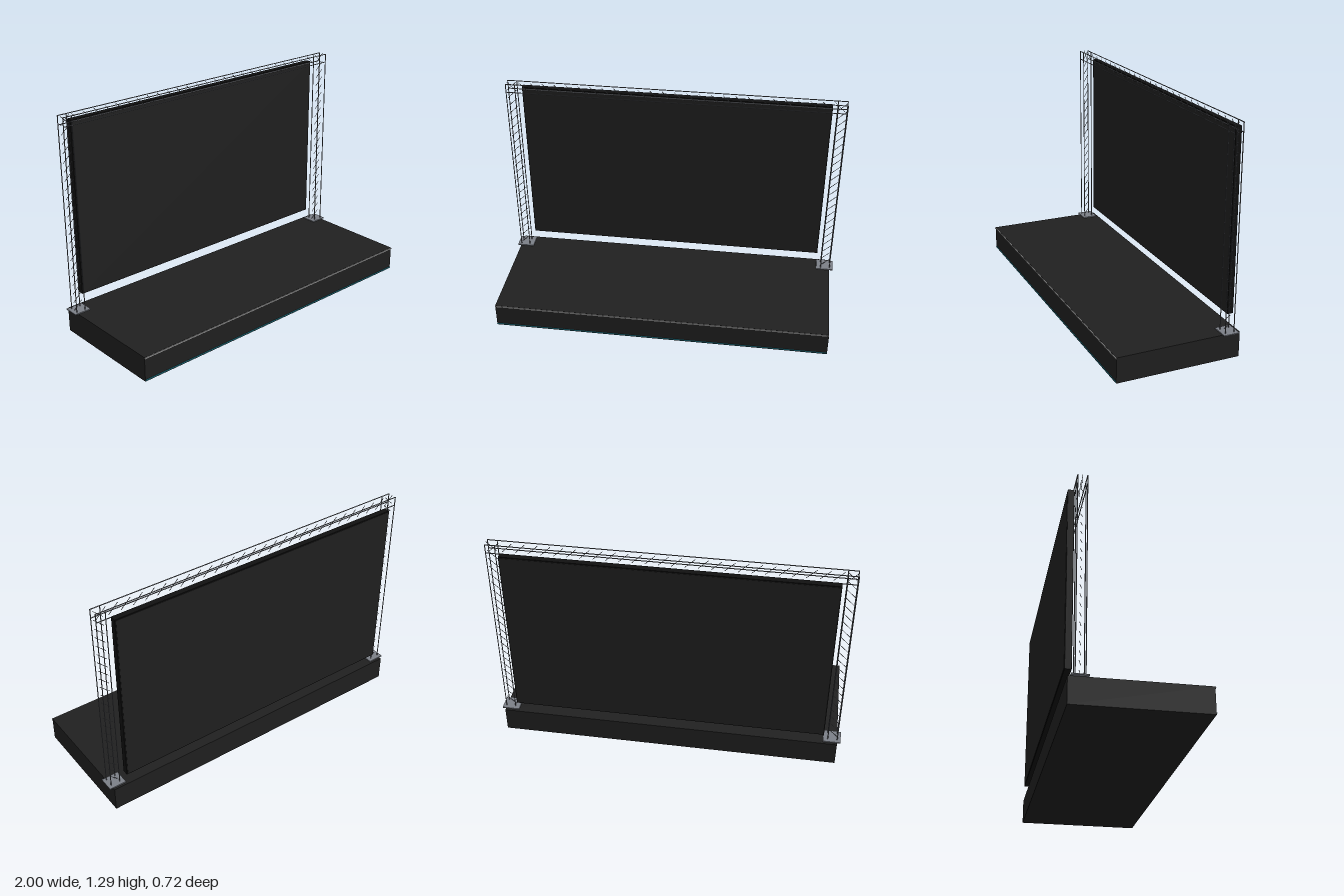
import * as THREE from 'three';

const mat = (name, color) => {
  const m = new THREE.MeshStandardMaterial({ color });
  m.name = name;
  return m;
};

export function createModel() {
  const black = mat('stage black', 0x202020);
  const trim = mat('dark edge', 0x111111);
  const steel = mat('truss grey', 0x6a6c72);
  const plate = mat('plate grey', 0x7c8088);
  const silver = mat('silver trim', 0x9a9a9a);
  const teal = mat('teal light', 0x1f7f90);
  const model = new THREE.Group();

  // Box given by its lower and upper corners
  const box = (parent, name, material, [x0, y0, z0], [x1, y1, z1]) => {
    const mesh = new THREE.Mesh(new THREE.BoxGeometry(x1 - x0, y1 - y0, z1 - z0), material);
    mesh.position.set((x0 + x1) / 2, (y0 + y1) / 2, (z0 + z1) / 2);
    mesh.name = name;
    parent.add(mesh);
  };
  // Round bar between two points
  const bar = (parent, name, material, a, b, r) => {
    const p = new THREE.Vector3(...a), q = new THREE.Vector3(...b);
    const d = q.clone().sub(p);
    const mesh = new THREE.Mesh(new THREE.CylinderGeometry(r, r, d.length(), 8), material);
    mesh.position.copy(p).add(q).multiplyScalar(0.5);
    mesh.quaternion.setFromUnitVectors(new THREE.Vector3(0, 1, 0), d.normalize());
    mesh.name = name;
    parent.add(mesh);
  };

  // Stage with front edge strips
  const stage = new THREE.Group();
  stage.name = 'stage';
  model.add(stage);
  box(stage, 'stageDeck', black, [-0.98, 0, -0.355], [0.98, 0.145, 0.357]);
  box(stage, 'frontTopTrim', silver, [-0.98, 0.137, 0.357], [0.98, 0.144, 0.361]);
  box(stage, 'frontLightStrip', teal, [-0.98, 0.006, 0.357], [0.98, 0.011, 0.36]);

  // Screen: display panel inside a thin dark frame
  const screen = new THREE.Group();
  screen.name = 'screen';
  model.add(screen);
  box(screen, 'screenPanel', black, [-0.894, 0.222, -0.36], [0.894, 1.238, -0.322]);
  for (const s of [-1, 1]) {
    const x = s * 0.897;
    box(screen, 'screenSideEdge', trim, [x - 0.003, 0.216, -0.358], [x + 0.003, 1.244, -0.324]);
    const y = s < 0 ? 0.219 : 1.241;
    box(screen, 'screenLongEdge', trim, [-0.9, y - 0.003, -0.358], [0.9, y + 0.003, -0.324]);
  }

  // Towers: four chords, a brace plane down the middle, and a foot plate
  const zMid = -0.293, zChords = [-0.267, -0.319];
  const R = 0.0027, r = 0.0015;
  for (const s of [-1, 1]) {
    const tower = new THREE.Group();
    tower.name = s > 0 ? 'leftTower' : 'rightTower';
    model.add(tower);
    const c = s * 0.953;
    box(tower, 'footPlate', plate, [s * 0.95 - 0.05, 0.145, -0.341], [s * 0.95 + 0.05, 0.151, -0.251]);
    for (const z of zChords)
      for (const dx of [-0.027, 0.027])
        bar(tower, 'towerChord', steel, [c + dx, 0.15, z], [c + dx, 1.288, z], R);
    const n = 22, step = 1.14 / n;
    for (let i = 0; i < n; i++) {
      const y = 0.15 + i * step;
      bar(tower, 'towerBrace', steel, [c - 0.027, y, zMid], [c + 0.027, y + step, zMid], r);
    }
  }

  // Top beam
  const beam = new THREE.Group();
  beam.name = 'topBeam';
  model.add(beam);
  for (const z of zChords)
    for (const y of [1.236, 1.287])
      bar(beam, 'beamChord', steel, [-0.98, y, z], [0.98, y, z], R);
  const n = 28, step = 1.96 / n;
  for (let i = 0; i < n; i++) {
    const x = -0.98 + i * step;
    bar(beam, 'beamBrace', steel, [x, 1.289, zMid], [x + 0.055, 1.235, zMid], r);
  }
  return model;
}
